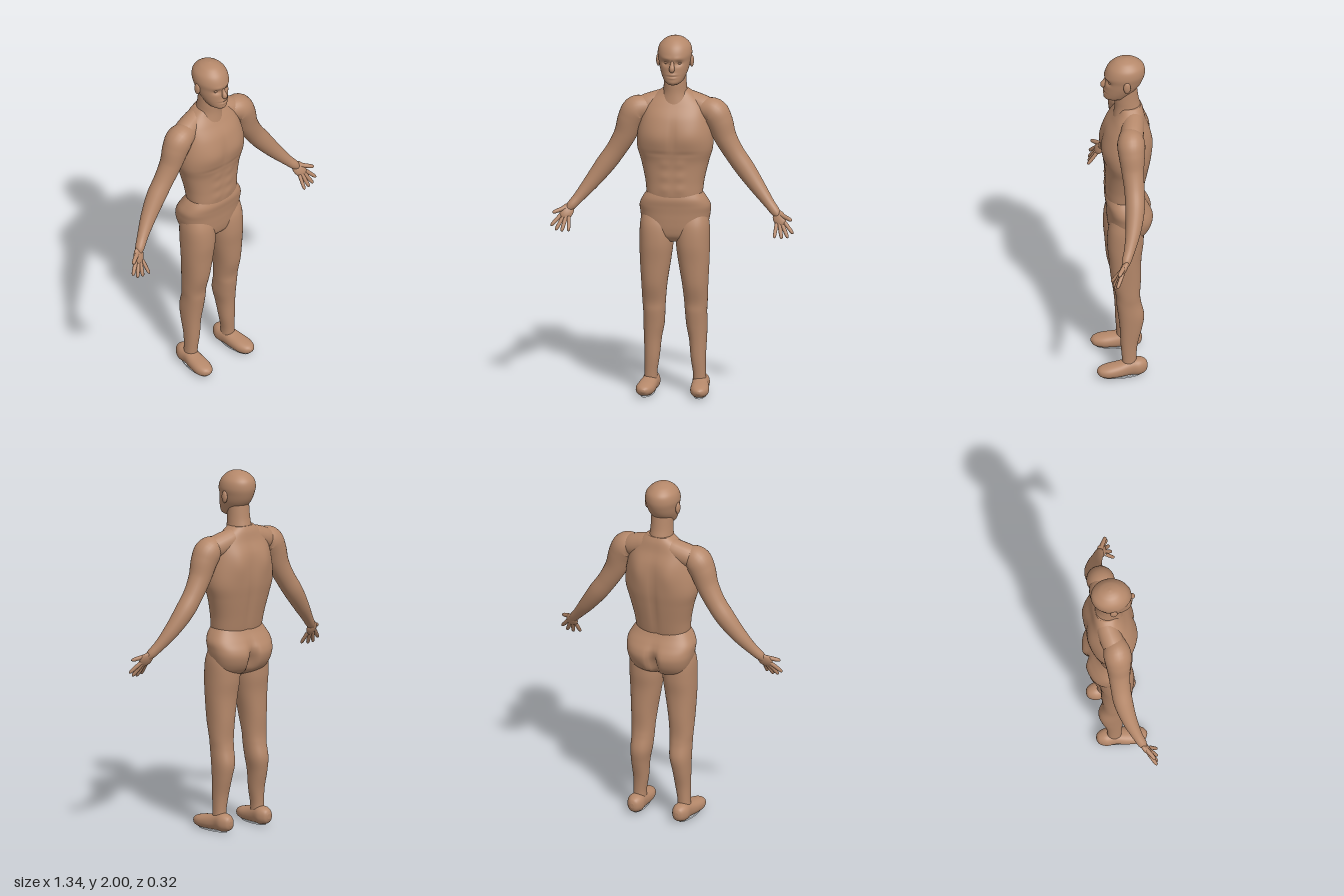
import * as THREE from 'three';
import { mergeVertices } from 'three/addons/utils/BufferGeometryUtils.js';

const skin = new THREE.MeshStandardMaterial({ color: 0xb5886a });
skin.name = 'skin tan';
const soleGrey = new THREE.MeshStandardMaterial({ color: 0xdfe4ea });
soleGrey.name = 'sole pale grey';

// Catmull-Rom blend of table rows at position t (in rows)
function sample(rows, t) {
  const last = rows.length - 1;
  const i = Math.min(Math.floor(t), last - 1);
  const f = t - i;
  const a = rows[Math.max(i - 1, 0)], b = rows[i], c = rows[i + 1], d = rows[Math.min(i + 2, last)];
  return b.map((v, k) => 0.5 * (2 * v + (c[k] - a[k]) * f
    + (2 * a[k] - 5 * v + 4 * c[k] - d[k]) * f * f
    + (3 * v - a[k] - 3 * c[k] + d[k]) * f * f * f));
}

// Closed loft up y through rows of [y, centreX, halfWidth, zFront, zBack]
function loft(rows, { power = 0.9, sculpt = null, sides = 48, steps = 7 } = {}) {
  const pos = [], index = [];
  const n = (rows.length - 1) * steps;
  for (let i = 0; i <= n; i++) {
    const [y, cx, rx, zf, zb] = sample(rows, i / steps);
    for (let j = 0; j < sides; j++) {
      const a = (j / sides) * Math.PI * 2;
      const c = Math.cos(a), s = Math.sin(a);
      const x = cx + rx * Math.sign(c) * Math.abs(c) ** power;
      let z = (zf + zb) / 2 + ((zf - zb) / 2) * Math.sign(s) * Math.abs(s) ** power;
      if (sculpt) z += sculpt(x, y, s) * Math.min(1, Math.abs(s) * 2);
      pos.push(x, y, z);
      if (i < n) {
        const p = i * sides + j, q = i * sides + (j + 1) % sides;
        index.push(p, p + sides, q, q, p + sides, q + sides);
      }
    }
  }
  // end caps
  for (const [row, first] of [[rows[0], 0], [rows[rows.length - 1], n * sides]]) {
    const centre = pos.length / 3;
    pos.push(row[1], row[0], (row[3] + row[4]) / 2);
    for (let j = 0; j < sides; j++) {
      const p = first + j, q = first + (j + 1) % sides;
      if (first) index.push(centre, q, p); else index.push(centre, p, q);
    }
  }
  const g = new THREE.BufferGeometry();
  g.setAttribute('position', new THREE.Float32BufferAttribute(pos, 3));
  g.setIndex(index);
  g.computeVertexNormals();
  return g;
}

// Tube of varying radius through points of [x, y, z, radius]
function limb(points, sides = 20, segments = 40) {
  const curve = new THREE.CatmullRomCurve3(points.map(p => new THREE.Vector3(p[0], p[1], p[2])));
  let g = new THREE.TubeGeometry(curve, segments, 1, sides);
  const pos = g.attributes.position, v = new THREE.Vector3();
  for (let i = 0; i <= segments; i++) {
    const centre = curve.getPointAt(i / segments);
    const t = curve.getUtoTmapping(i / segments) * (points.length - 1);
    const r = Math.max(0.0005, sample(points, t)[3]);
    for (let j = 0; j <= sides; j++) {
      const k = i * (sides + 1) + j;
      v.fromBufferAttribute(pos, k).sub(centre).multiplyScalar(r).add(centre);
      pos.setXYZ(k, v.x, v.y, v.z);
    }
  }
  g.deleteAttribute('uv');
  g.deleteAttribute('normal');
  g = mergeVertices(g, 1e-5);
  g.computeVertexNormals();
  return g;
}

function ball(x, y, z, rx, ry, rz) {
  return new THREE.SphereGeometry(1, 28, 20).scale(rx, ry, rz).translate(x, y, z);
}

// Soft round bump mirrored over x = 0
const bump = (x, y, cx, cy, wx, wy) =>
  Math.exp(-(((Math.abs(x) - cx) / wx) ** 2) - ((y - cy) / wy) ** 2);

function torsoMuscle(x, y, s) {
  if (s < 0) { // shoulder blades and spine groove
    return 0.009 * bump(x, y, 0, 1.33, 0.02, 0.2) - 0.012 * bump(x, y, 0.09, 1.5, 0.05, 0.08);
  }
  const chest = 0.008 * bump(x, y, 0.085, 1.45, 0.07, 0.07) - 0.006 * bump(x, y, 0, 1.45, 0.012, 0.08);
  const abs = [1.16, 1.23, 1.3].reduce((d, cy) => d + 0.005 * bump(x, y, 0.04, cy, 0.03, 0.026), 0);
  return chest + abs - 0.003 * bump(x, y, 0.07, 1.36, 0.07, 0.012);
}

// Cleft between the buttocks
const seatShape = (x, y, s) => (s < 0 ? 0.055 * bump(x, y, 0, 0.95, 0.024, 0.075) : 0);

function faceShape(x, y, s) {
  if (s < 0) return 0;
  return -0.013 * bump(x, y, 0.036, 1.865, 0.02, 0.014) + 0.004 * bump(x, y, 0.03, 1.893, 0.035, 0.011)
    + 0.005 * bump(x, y, 0, 1.803, 0.025, 0.007) - 0.004 * bump(x, y, 0, 1.795, 0.028, 0.004)
    + 0.004 * bump(x, y, 0, 1.786, 0.022, 0.006);
}

export function createModel() {
  const model = new THREE.Group();
  model.name = 'humanFigure';
  const add = (name, geometry, material = skin) => {
    const mesh = new THREE.Mesh(geometry, material);
    mesh.name = name;
    model.add(mesh);
  };

  add('torso', loft([
    [1.08, 0, 0.14, 0.085, -0.085], [1.12, 0, 0.152, 0.098, -0.098], [1.2, 0, 0.162, 0.098, -0.115],
    [1.3, 0, 0.185, 0.1, -0.135], [1.38, 0, 0.207, 0.115, -0.148], [1.46, 0, 0.205, 0.12, -0.15],
    [1.55, 0, 0.185, 0.1, -0.142], [1.62, 0, 0.16, 0.06, -0.12], [1.67, 0, 0.11, 0.03, -0.108],
    [1.7, 0, 0.07, 0.02, -0.095],
  ], { power: 0.85, sculpt: torsoMuscle, sides: 80, steps: 9 }));

  add('pelvis', loft([
    [0.86, 0, 0.09, 0.05, -0.05], [0.89, 0, 0.15, 0.076, -0.112], [0.93, 0, 0.172, 0.086, -0.145],
    [0.98, 0, 0.186, 0.09, -0.16], [1.02, 0, 0.192, 0.092, -0.153], [1.06, 0, 0.193, 0.096, -0.13],
    [1.1, 0, 0.175, 0.1, -0.106], [1.14, 0, 0.148, 0.09, -0.088],
  ], { power: 0.8, sculpt: seatShape, sides: 80 }));

  add('neck', loft([
    [1.6, 0, 0.1, 0.06, -0.1], [1.68, 0, 0.069, 0.047, -0.098],
    [1.74, 0, 0.062, 0.045, -0.085], [1.82, 0, 0.06, 0.04, -0.075],
  ], { power: 1 }));

  add('head', loft([
    [1.745, 0, 0.03, 0.095, 0], [1.76, 0, 0.05, 0.107, -0.03], [1.79, 0, 0.066, 0.106, -0.055],
    [1.83, 0, 0.08, 0.103, -0.09], [1.87, 0, 0.088, 0.1, -0.11], [1.91, 0, 0.094, 0.1, -0.12],
    [1.95, 0, 0.085, 0.083, -0.113], [1.98, 0, 0.058, 0.052, -0.083], [1.994, 0, 0.03, 0.022, -0.05],
    [2, 0, 0.003, -0.012, -0.018],
  ], { power: 1, sculpt: faceShape, sides: 80, steps: 9 }));
  add('nose', limb([[0, 1.885, 0.094, 0.006], [0, 1.86, 0.1, 0.011], [0, 1.838, 0.11, 0.015],
    [0, 1.826, 0.106, 0.012], [0, 1.822, 0.1, 0.001]], 16, 20));

  for (const side of [1, -1]) {
    const label = side > 0 ? 'left' : 'right';
    const flip = rows => rows.map(([x, ...rest]) => [x * side, ...rest]);
    const flipLoft = rows => rows.map(([y, cx, ...rest]) => [y, cx * side, ...rest]);

    add(label + 'Ear', ball(side * 0.092, 1.862, -0.012, 0.012, 0.034, 0.02));
    add(label + 'Eye', ball(side * 0.036, 1.866, 0.075, 0.012, 0.007, 0.009));

    // sloping muscle from neck to shoulder
    add(label + 'Collar', limb(flip([[0.02, 1.655, -0.055, 0.05], [0.09, 1.625, -0.045, 0.06],
      [0.17, 1.595, -0.03, 0.062], [0.24, 1.57, -0.02, 0.04]])));

    // arm flowing out of the chest over a round shoulder
    add(label + 'Arm', limb(flip([
      [0.11, 1.59, -0.03, 0.04], [0.165, 1.592, -0.022, 0.062], [0.212, 1.578, -0.02, 0.076],
      [0.242, 1.53, -0.02, 0.073], [0.275, 1.44, -0.022, 0.062], [0.325, 1.35, -0.025, 0.055],
      [0.385, 1.265, -0.022, 0.053], [0.46, 1.165, -0.003, 0.042], [0.525, 1.085, 0.025, 0.03],
      [0.565, 1.04, 0.047, 0.025], [0.59, 1.01, 0.06, 0.012],
    ]), 28, 80));

    // palm, then thumb and four fingers from base to tip
    add(label + 'Palm', ball(0, 0, 0, 0.036, 0.048, 0.018).rotateX(-0.5).rotateZ(side * 0.5)
      .translate(side * 0.585, 1.012, 0.062));
    const digits = [
      ['Thumb', [0.585, 1.035, 0.055], [0.66, 1.01, 0.1], 0.012],
      ['IndexFinger', [0.61, 1.0, 0.07], [0.668, 0.938, 0.108], 0.011],
      ['MiddleFinger', [0.6, 0.99, 0.075], [0.64, 0.915, 0.116], 0.011],
      ['RingFinger', [0.588, 0.985, 0.078], [0.606, 0.91, 0.122], 0.011],
      ['LittleFinger', [0.572, 0.985, 0.078], [0.566, 0.915, 0.13], 0.01],
    ];
    for (const [name, a, b, r] of digits) {
      const at = (t, k) => [...a.map((v, i) => v + (b[i] - v) * t), r * k];
      add(label + name, limb(flip([at(0, 1), at(0.45, 1), at(0.8, 0.9), at(0.95, 0.6), at(1, 0.02)]), 12, 16));
    }

    add(label + 'Leg', loft(flipLoft([
      [0.07, 0.135, 0.036, 0.02, -0.06], [0.12, 0.133, 0.035, 0.022, -0.058],
      [0.2, 0.127, 0.041, 0.028, -0.066], [0.3, 0.124, 0.048, 0.032, -0.09],
      [0.38, 0.118, 0.057, 0.04, -0.102], [0.46, 0.115, 0.06, 0.05, -0.086],
      [0.52, 0.115, 0.064, 0.054, -0.08], [0.62, 0.112, 0.071, 0.078, -0.085],
      [0.75, 0.105, 0.085, 0.09, -0.088], [0.85, 0.1, 0.092, 0.098, -0.1],
      [0.95, 0.1, 0.09, 0.09, -0.1], [1.03, 0.1, 0.075, 0.06, -0.08],
    ])));

    // foot lofted from heel to toe, then laid along z
    add(label + 'Foot', loft(flipLoft([
      [-0.118, 0.135, 0.01, -0.042, -0.068], [-0.106, 0.135, 0.03, -0.018, -0.09],
      [-0.07, 0.136, 0.047, -0.004, -0.104], [-0.02, 0.138, 0.045, -0.005, -0.1],
      [0.04, 0.145, 0.05, -0.003, -0.086], [0.1, 0.15, 0.05, -0.004, -0.076],
      [0.142, 0.152, 0.034, -0.014, -0.064], [0.16, 0.152, 0.008, -0.034, -0.048],
    ])).rotateX(Math.PI / 2));
    add(label + 'Sole', new THREE.CylinderGeometry(1, 1, 0.009, 40).scale(0.034, 1, 0.105)
      .rotateY(side * 0.07).translate(side * 0.144, 0.0045, 0.025), soleGrey);
  }
  return model;
}
